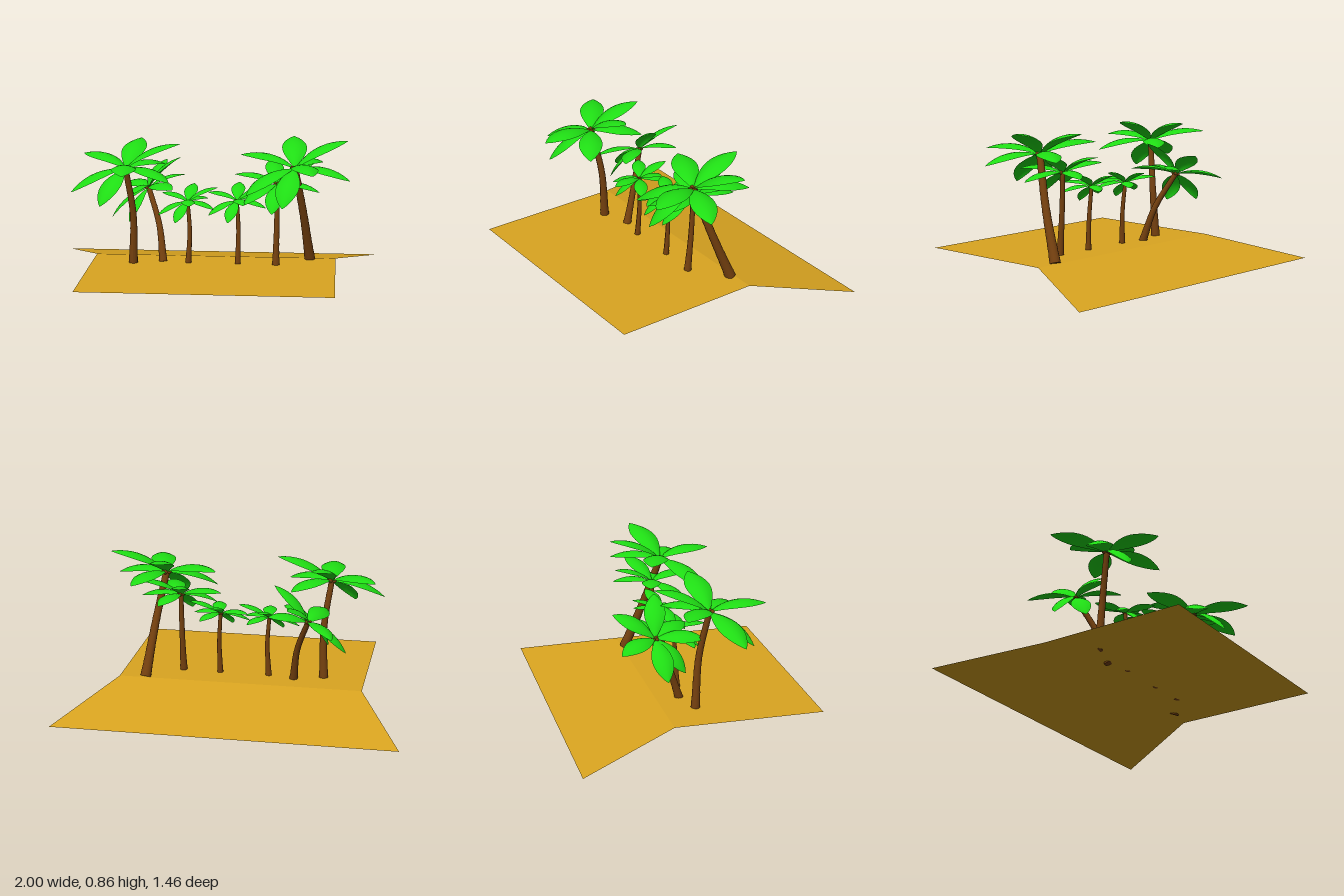
import * as THREE from 'three';

const V = (x, y, z) => new THREE.Vector3(x, y, z);
const UP = V(0, 1, 0);
const sandMat = new THREE.MeshStandardMaterial({ color: 0xdaa520, side: THREE.DoubleSide });
const trunkMat = new THREE.MeshStandardMaterial({ color: 0x74400f });
const leafMat = new THREE.MeshStandardMaterial({ color: 0x1fdd14, side: THREE.DoubleSide });

function mesh(name, geometry, material) {
  const m = new THREE.Mesh(geometry, material);
  m.name = name;
  return m;
}

// Flat four-sided sheet between a near and a far edge
function sheet(name, x0, y0, z0, x1, y1, z1) {
  const g = new THREE.BufferGeometry();
  g.setAttribute('position', new THREE.Float32BufferAttribute(
    [-x0, y0, z0, x0, y0, z0, x1, y1, z1, -x1, y1, z1], 3));
  g.setIndex([0, 1, 2, 0, 2, 3]);
  g.computeVertexNormals();
  return mesh(name, g, sandMat);
}

// Tapered cylinder bent along a curve, flared at the foot with faint rings
function trunk(curve, radius) {
  const g = new THREE.CylinderGeometry(1, 1, 1, 14, 20);
  const p = g.attributes.position;
  const q = new THREE.Quaternion();
  for (let i = 0; i < p.count; i++) {
    const t = THREE.MathUtils.clamp(p.getY(i) + 0.5, 0, 1);
    const ring = 1 + 0.04 * (Math.round(t * 20) % 2);
    const r = radius * (0.62 + 0.18 * (1 - t) + 0.2 * Math.pow(1 - t, 5)) * ring;
    q.setFromUnitVectors(UP, curve.getTangent(t));
    const v = V(p.getX(i) * r, 0, p.getZ(i) * r).applyQuaternion(q).add(curve.getPoint(t));
    p.setXYZ(i, v.x, v.y, v.z);
  }
  g.computeVertexNormals();
  return mesh('trunk', g, trunkMat);
}

// Broad pointed frond from the crown centre to its tip, arched both ways
function frond(tip) {
  const L = tip.length(), rows = 12, cols = 6, pos = [], idx = [];
  const side = tip.clone().cross(UP).normalize();
  const normal = side.clone().cross(tip).normalize();
  for (let i = 0; i <= rows; i++) {
    const t = i / rows;
    const bulge = Math.max(0, Math.sin(Math.PI * Math.pow(t, 1.15)));
    const w = L * (0.008 + 0.205 * Math.pow(bulge, 0.85));
    const rise = L * 0.5 * t * (1 - t);
    for (let j = 0; j <= cols; j++) {
      const s = (j / cols) * 2 - 1;
      const v = tip.clone().multiplyScalar(t).addScaledVector(side, s * w)
        .addScaledVector(normal, rise - 0.3 * w * s * s);
      pos.push(v.x, v.y, v.z);
      if (i < rows && j < cols) {
        const a = i * (cols + 1) + j, b = a + cols + 1;
        idx.push(a, a + 1, b, a + 1, b + 1, b);
      }
    }
  }
  const g = new THREE.BufferGeometry();
  g.setAttribute('position', new THREE.Float32BufferAttribute(pos, 3));
  g.setIndex(idx);
  g.computeVertexNormals();
  return mesh('frond', g, leafMat);
}

// Eight fronds: compass angle in degrees from +x towards +z, reach, lift of the tip
const FRONDS = [
  [350, 0.32, 0.145], [31, 0.33, -0.045], [83, 0.34, 0.02], [115, 0.26, -0.18],
  [155, 0.33, -0.12], [213, 0.34, 0.055], [278, 0.31, 0.135], [309, 0.31, -0.01],
];

function crown(size, turn, lean) {
  const group = new THREE.Group();
  group.name = 'crown';
  for (const [angle, reach, lift] of FRONDS) {
    const a = THREE.MathUtils.degToRad(angle);
    group.add(frond(V(Math.cos(a) * reach, lift, Math.sin(a) * reach)));
  }
  // Small nuts clustered round the top of the trunk
  for (let i = 0; i < 4; i++) {
    const a = i * Math.PI / 2 + 0.4;
    const nut = mesh('nut', new THREE.SphereGeometry(0.013, 10, 8), trunkMat);
    nut.position.set(Math.cos(a) * 0.017, 0.003, Math.sin(a) * 0.017);
    group.add(nut);
  }
  group.scale.setScalar(size);
  group.quaternion.setFromUnitVectors(UP, lean.normalize());
  group.rotateY(-THREE.MathUtils.degToRad(turn));
  return group;
}

// One palm: bent trunk with a sized, turned and optionally leaning crown
function palm(name, base, mid, top, radius, size, turn, lean = UP.clone()) {
  const group = new THREE.Group();
  group.name = name;
  const head = crown(size, turn, lean);
  head.position.copy(top);
  group.add(trunk(new THREE.CatmullRomCurve3([base, mid, top]), radius), head);
  return group;
}

export function createModel() {
  const model = new THREE.Group();
  model.name = 'palmBeach';
  // Level sand, with a widening slope falling away at the back
  model.add(sheet('levelSand', 0.73, 0.115, 0.73, 0.73, 0.115, -0.15));
  model.add(sheet('sandSlope', 0.73, 0.115, -0.15, 1, 0, -0.73));
  // Palms from the model's right to its left
  model.add(palm('tallRightPalm', V(-0.48, 0.115, 0.04), V(-0.475, 0.42, 0.06), V(-0.51, 0.7, 0.11), 0.027, 1, 3));
  model.add(palm('leaningPalm', V(-0.305, 0.11, -0.01), V(-0.335, 0.32, -0.08), V(-0.41, 0.53, -0.18), 0.025, 0.82, 22, V(-0.35, 1, -0.05)));
  model.add(palm('smallRightPalm', V(-0.15, 0.115, 0.02), V(-0.142, 0.31, 0.01), V(-0.155, 0.485, 0), 0.018, 0.57, 0));
  model.add(palm('smallLeftPalm', V(0.147, 0.115, 0.02), V(0.15, 0.31, 0.01), V(0.14, 0.495, 0), 0.018, 0.58, -7));
  model.add(palm('middleLeftPalm', V(0.375, 0.115, 0.03), V(0.378, 0.36, 0.01), V(0.38, 0.6, 0), 0.022, 0.78, -18));
  model.add(palm('tallLeftPalm', V(0.575, 0.115, -0.13), V(0.535, 0.42, -0.015), V(0.485, 0.71, 0.08), 0.032, 1.03, -11));
  return model;
}
